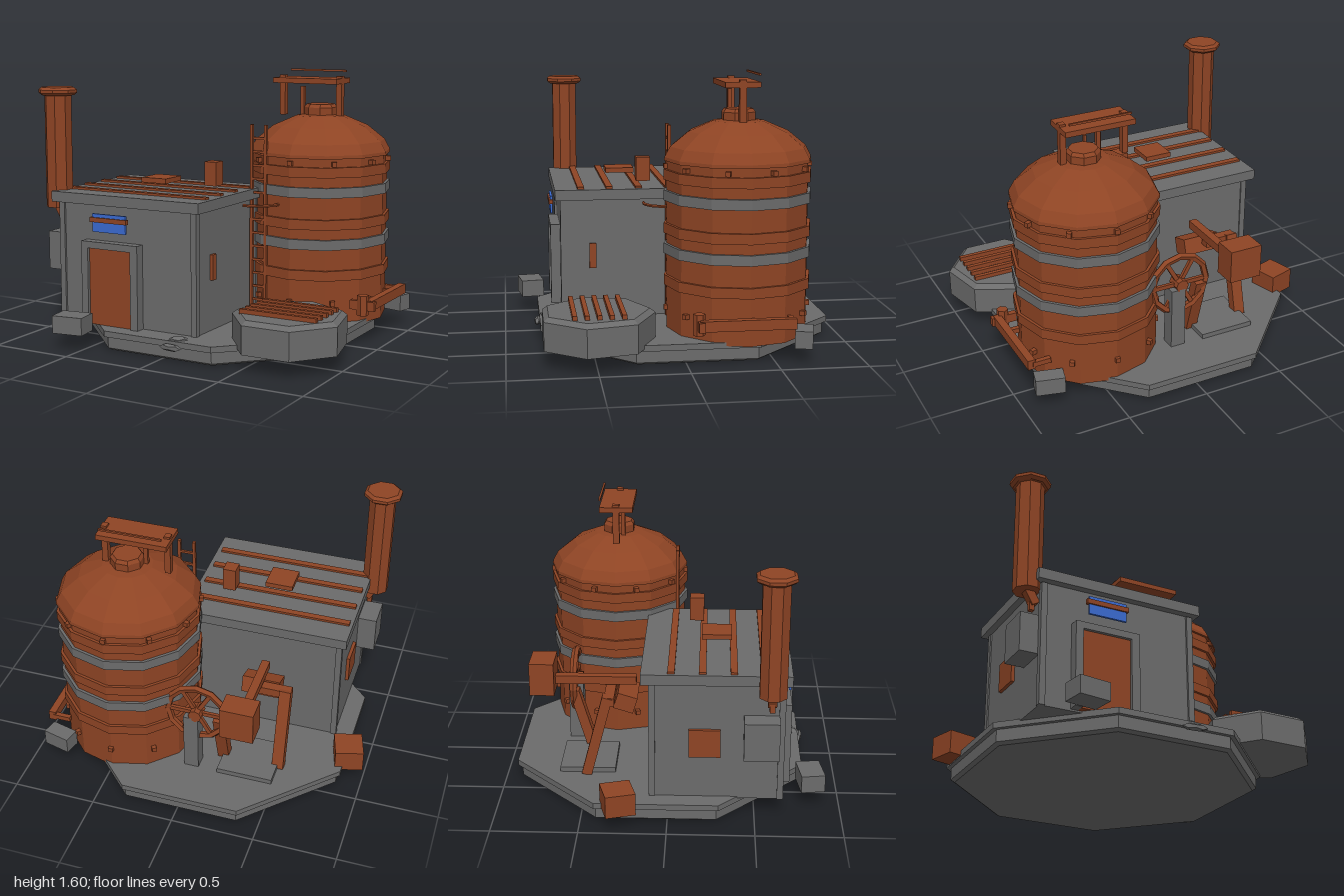
import * as THREE from 'three';

export function createModel() {
  const model = new THREE.Group();
  model.name = 'tankStation';
  const mat = (name, color) => {
    const m = new THREE.MeshStandardMaterial({ color, flatShading: true });
    m.name = name;
    return m;
  };
  const rust = mat('rust', 0x8e4424);
  const grey = mat('concrete grey', 0x6b6b6b);
  const blue = mat('sign blue', 0x3a6ad0);

  const add = (name, geo, m, x = 0, y = 0, z = 0, parent = model) => {
    const mesh = new THREE.Mesh(geo, m);
    mesh.name = name;
    mesh.position.set(x, y, z);
    parent.add(mesh);
    return mesh;
  };
  // Box given by its min and max on each axis
  const box = (name, m, x0, x1, y0, y1, z0, z1) =>
    add(name, new THREE.BoxGeometry(x1 - x0, y1 - y0, z1 - z0), m,
      (x0 + x1) / 2, (y0 + y1) / 2, (z0 + z1) / 2);
  // Upright prism between two heights
  const prism = (name, m, rTop, rBottom, sides, x, y0, y1, z, start = 0) =>
    add(name, new THREE.CylinderGeometry(rTop, rBottom, y1 - y0, sides, 1, false, start), m,
      x, (y0 + y1) / 2, z);
  // Square beam between two points
  const beam = (name, m, a, b, w, d) => {
    const p = new THREE.Vector3(...a), q = new THREE.Vector3(...b);
    const mesh = add(name, new THREE.BoxGeometry(w, p.distanceTo(q), d), m);
    mesh.position.copy(p).lerp(q, 0.5);
    mesh.quaternion.setFromUnitVectors(new THREE.Vector3(0, 1, 0), q.sub(p).normalize());
    return mesh;
  };

  // Ground slab in two tiers with a chamfered foot
  const e = Math.PI / 8;
  prism('slabFoot', grey, 0.904, 0.88, 8, -0.02, 0, 0.015, -0.065, e);
  prism('slab', grey, 0.904, 0.904, 8, -0.02, 0.015, 0.085, -0.065, e);
  prism('slabTop', grey, 0.931, 0.931, 8, -0.02, 0.085, 0.12, -0.065, e);

  // Building walls, corner posts and roof
  box('walls', grey, -0.77, 0.16, 0.11, 0.84, -0.1, 0.65);
  for (const x of [-0.76, 0.15])
    for (const z of [-0.09, 0.645]) box('cornerPost', grey, x - 0.018, x + 0.018, 0.11, 0.83, z - 0.018, z + 0.018);
  box('roof', grey, -0.81, 0.2, 0.835, 0.897, -0.15, 0.695);
  for (const z of [0.02, 0.195, 0.37, 0.54])
    box('roofBatten', rust, -0.79, 0.17, 0.89, 0.91, z - 0.02, z + 0.02);
  box('roofHatch', rust, -0.39, -0.22, 0.938, 0.968, 0.185, 0.36);
  box('roofVent', rust, -0.05, 0.03, 0.92, 1.065, 0.11, 0.195);

  // Door with frame
  box('door', rust, -0.545, -0.25, 0.12, 0.58, 0.65, 0.69);
  box('doorPost', grey, -0.59, -0.545, 0.12, 0.62, 0.65, 0.71);
  box('doorPost', grey, -0.25, -0.2, 0.12, 0.62, 0.65, 0.71);
  box('doorLintel', grey, -0.545, -0.25, 0.58, 0.62, 0.65, 0.71);

  // Sign, shutters and wall box
  box('sign', blue, -0.51, -0.28, 0.68, 0.787, 0.692, 0.706);
  box('signBar', rust, -0.525, -0.27, 0.738, 0.766, 0.69, 0.715);
  box('rightShutter', rust, 0.16, 0.18, 0.42, 0.57, 0.452, 0.492);
  box('leftShutter', rust, -0.79, -0.77, 0.38, 0.55, 0.12, 0.3);
  box('wallBox', grey, -0.885, -0.77, 0.41, 0.64, 0.43, 0.63);

  // Chimney
  prism('chimney', rust, 0.082, 0.082, 8, -0.832, 0.79, 1.47, 0.585, e);
  prism('chimneyCapLower', rust, 0.118, 0.098, 8, -0.832, 1.46, 1.475, 0.585, e);
  prism('chimneyCap', rust, 0.118, 0.118, 8, -0.832, 1.475, 1.493, 0.585, e);
  prism('chimneyCapTop', rust, 0.098, 0.118, 8, -0.832, 1.493, 1.508, 0.585, e);
  beam('chimneyElbow', rust, [-0.83, 0.8, 0.585], [-0.785, 0.72, 0.585], 0.05, 0.05);
  box('chimneyBracket', rust, -0.82, -0.79, 0.68, 0.75, 0.57, 0.6);

  // Storage tank
  const tx = 0.46, tz = -0.35;
  const profile = [[0, 0.1], [0.415, 0.1], [0.415, 1.1], [0.43, 1.1], [0.428, 1.12],
    [0.395, 1.18], [0.29, 1.265], [0.15, 1.325], [0, 1.34]];
  add('tank', new THREE.LatheGeometry(profile.map(p => new THREE.Vector2(...p)), 12), rust, tx, 0, tz);
  for (const [y, m] of [[0.405, rust], [0.59, grey], [0.71, rust], [0.9, grey], [1.02, rust]])
    prism('tankHoop', m, 0.432, 0.432, 12, tx, y - 0.03, y + 0.03, tz);
  prism('tankCap', rust, 0.1, 0.1, 8, tx, 1.3, 1.375, tz, e);
  prism('tankCapTop', rust, 0.085, 0.1, 8, tx, 1.375, 1.395, tz, e);
  for (const y of [0.24, 1.07])
    for (let i = 0; i < 10; i++) {
      const a = i * Math.PI / 5;
      const bolt = add('tankBolt', new THREE.BoxGeometry(0.028, 0.028, 0.04), rust,
        tx + Math.sin(a) * 0.413, y, tz + Math.cos(a) * 0.413);
      bolt.rotation.y = a;
    }

  // Gantry over the tank
  box('gantryPlate', rust, 0.183, 0.607, 1.52, 1.552, -0.45, -0.247);
  for (const x of [0.208, 0.588]) box('gantryLeg', rust, x - 0.018, x + 0.018, 1.32, 1.565, -0.37, -0.33);
  box('gantryRod', rust, 0.343, 0.367, 1.3, 1.5, -0.33, -0.305);
  box('gantryRail', rust, 0.21, 0.585, 1.587, 1.599, -0.455, -0.443);

  // Ladder and walkway pipe
  for (const x of [0.184, 0.277]) box('ladderRail', rust, x - 0.009, x + 0.009, 0.12, 1.285, 0.017, 0.037);
  for (let i = 0; i < 13; i++) {
    const y = 0.22 + i * 0.082;
    box('ladderRung', rust, 0.18, 0.28, y - 0.007, y + 0.007, 0.02, 0.034);
  }
  const pipePath = new THREE.CatmullRomCurve3(
    [[0.2, 0.17], [0.25, 0.17], [0.33, 0.13], [0.37, 0.04]].map(([x, z]) => new THREE.Vector3(x, 0.815, z)));
  add('bentPipe', new THREE.TubeGeometry(pipePath, 8, 0.009, 5), rust);

  // Side pipe with flange
  box('sidePipe', rust, 0.895, 0.94, 0.21, 0.27, -0.6, -0.06);
  box('sidePipeFlange', rust, 0.8, 0.955, 0.21, 0.265, -0.085, -0.05);
  prism('sidePipeValve', rust, 0.035, 0.035, 6, 0.88, 0.18, 0.3, -0.06);
  for (const z of [-0.59, -0.22]) box('sidePipeBracket', rust, 0.8, 0.91, 0.225, 0.255, z - 0.015, z + 0.015);

  // Seven-sided pit with grate
  prism('pit', grey, 0.334, 0.334, 7, 0.67, 0.1, 0.265, 0.49, Math.PI);
  prism('pitRim', grey, 0.302, 0.334, 7, 0.67, 0.265, 0.29, 0.49, Math.PI);
  for (let i = 0; i < 5; i++) {
    const z = 0.352 + i * 0.068;
    box('grateBar', rust, 0.43, 0.9, 0.285, 0.315, z - 0.013, z + 0.013);
  }

  // Pump: base, rocking beam, head, legs
  box('pumpBase', grey, -0.51, -0.17, 0.11, 0.15, -0.65, -0.32);
  box('pumpBeam', rust, -0.365, -0.315, 0.63, 0.68, -0.72, -0.2);
  box('pumpWeight', rust, -0.44, -0.24, 0.585, 0.785, -0.825, -0.68);
  const head = box('pumpHead', rust, -0.455, -0.225, 0.5, 0.6, -0.32, -0.2);
  head.rotation.x = 0.3;
  beam('pumpLeg', rust, [-0.51, 0.12, -0.49], [-0.51, 0.62, -0.36], 0.07, 0.06);
  beam('pumpLeg', rust, [-0.17, 0.12, -0.48], [-0.17, 0.5, -0.59], 0.07, 0.06);
  box('pumpCrossbar', rust, -0.54, -0.34, 0.57, 0.62, -0.38, -0.32);

  // Flywheel on its post
  box('wheelPost', grey, -0.05, 0.04, 0.12, 0.5, -0.64, -0.55);
  const wheel = new THREE.Group();
  wheel.name = 'flywheel';
  wheel.position.set(-0.03, 0.52, -0.595);
  model.add(wheel);
  add('wheelRim', new THREE.TorusGeometry(0.18, 0.022, 5, 12), rust, 0, 0, 0, wheel);
  for (let i = 0; i < 3; i++)
    add('wheelSpoke', new THREE.BoxGeometry(0.36, 0.025, 0.02), rust, 0, 0, 0, wheel).rotation.z = i * Math.PI / 3;
  add('wheelHub', new THREE.CylinderGeometry(0.04, 0.04, 0.09, 8), rust, 0, 0, 0, wheel).rotation.x = Math.PI / 2;

  // Loose blocks and rocks around the slab
  const block = (name, m, x, y, z, w, h, d, turn) => {
    add(name, new THREE.BoxGeometry(w, h, d), m, x, y, z).rotation.y = turn;
  };
  block('rustBlock', rust, -0.895, 0.16, -0.28, 0.17, 0.135, 0.175, 0.28);
  block('frontBlock', grey, -0.575, 0.15, 0.832, 0.19, 0.105, 0.14, 0.14);
  block('rearBlock', grey, 0.84, 0.14, -0.665, 0.17, 0.1, 0.1, -0.25);
  const rock = (x, y, z, sx, sy, sz, turn) => {
    const r = add('rock', new THREE.DodecahedronGeometry(1, 0), grey, x, y, z);
    r.scale.set(sx, sy, sz);
    r.rotation.y = turn;
  };
  rock(0.1, 0.115, 0.75, 0.07, 0.025, 0.035, 0.5);
  rock(0.08, 0.085, 0.805, 0.08, 0.022, 0.02, -0.1);
  return model;
}
